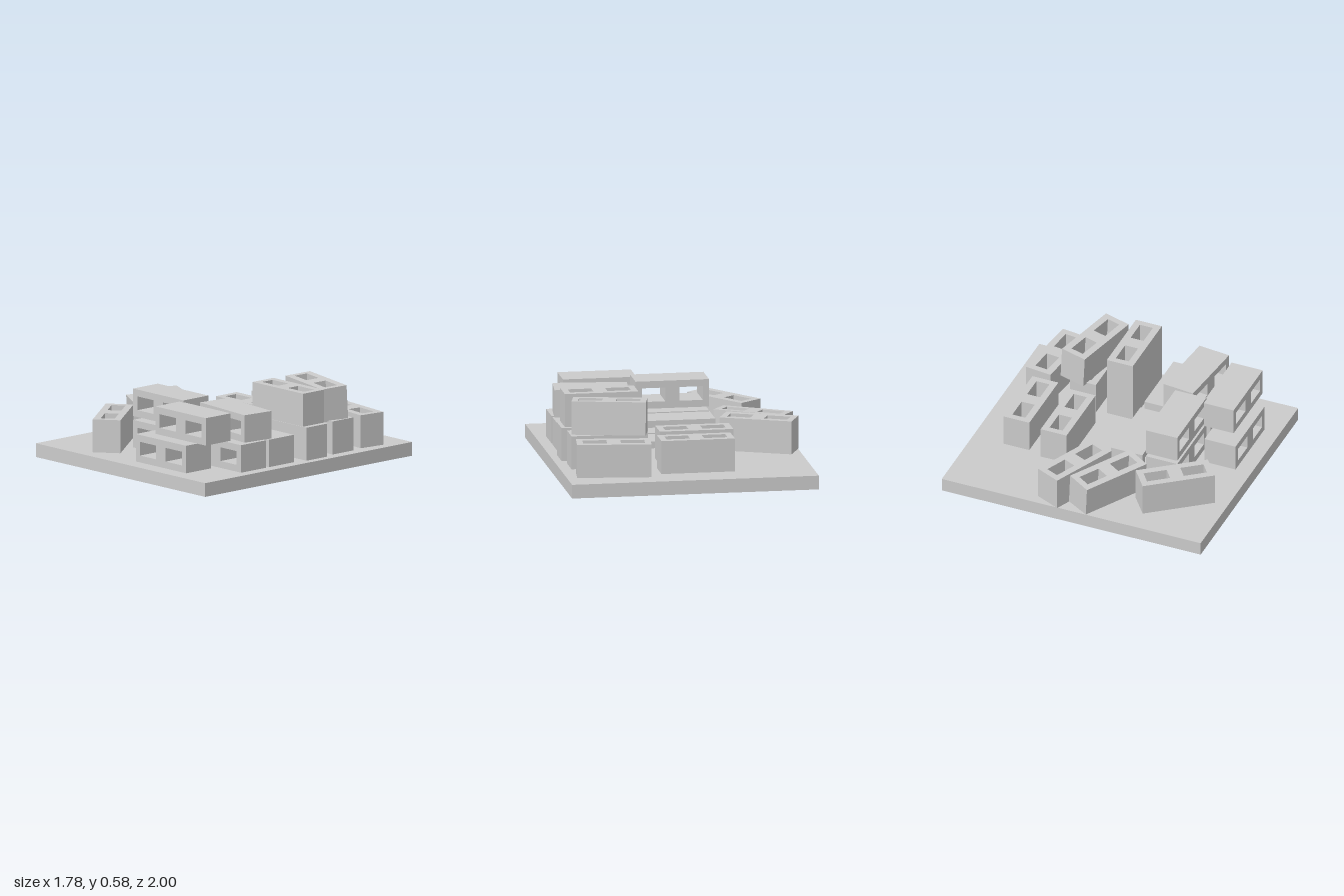
import * as THREE from 'three';

const LENGTH = 0.53, WIDTH = 0.2, DEPTH = 0.24, BASE = 0.1;

// One hollow block: a rectangle with two rectangular cores, extruded along z
function blockGeometry() {
  const rect = (P, cx, w, h) => {
    const p = new P();
    p.moveTo(cx - w / 2, -h / 2);
    p.lineTo(cx + w / 2, -h / 2);
    p.lineTo(cx + w / 2, h / 2);
    p.lineTo(cx - w / 2, h / 2);
    p.closePath();
    return p;
  };
  const shape = rect(THREE.Shape, 0, LENGTH, WIDTH);
  for (const s of [-1, 1]) shape.holes.push(rect(THREE.Path, s * 0.135, 0.17, 0.1));
  const geo = new THREE.ExtrudeGeometry(shape, { depth: DEPTH, bevelEnabled: false });
  return geo.translate(0, 0, -DEPTH / 2);
}

export function createModel() {
  const model = new THREE.Group();
  model.name = 'blockPile';
  const material = new THREE.MeshStandardMaterial({ color: 0xcccccc, flatShading: true });

  // Ground slab
  const slab = new THREE.Mesh(new THREE.BoxGeometry(1.78, BASE, 2), material);
  slab.name = 'groundSlab';
  slab.position.y = BASE / 2;
  model.add(slab);

  const lyingGeo = blockGeometry();
  const uprightGeo = blockGeometry().rotateX(-Math.PI / 2);

  const place = (name, geo, height, [x, z, bottom = BASE, turn = 0, tilt = 0]) => {
    const mesh = new THREE.Mesh(geo, material);
    mesh.name = name;
    mesh.position.set(x, bottom + height / 2, z);
    mesh.rotation.set(tilt, turn, 0, 'YXZ');
    model.add(mesh);
  };

  // Blocks on their sides, cores facing front: x, z, bottom, turn, tilt
  [
    [-0.06, 0.19],
    [-0.06, 0.46],
    [0.545, 0.19],
    [0.545, 0.46],
    [0.295, 0.76],
    [-0.06, 0.46, 0.328],
    [0.525, 0.367, 0.303, -0.105],
    [0.425, 0.69, 0.312],
  ].forEach((b, i) => place(`lyingBlock${i + 1}`, lyingGeo, WIDTH, b));

  // Blocks standing with cores upward
  [
    [-0.06, -0.663],
    [-0.1, -0.358],
    [0.543, -0.72, BASE, -0.118],
    [0.545, -0.405],
    [0.57, -0.13],
    [0.545, -0.12, 0.345],
    [0.522, -0.417, 0.337, -0.23, 0.055],
    [-0.612, -0.09, BASE, -0.42],
    [-0.612, 0.165, 0.088, -0.53, 0.06],
    [-0.48, 0.63, BASE, -0.92],
  ].forEach((b, i) => place(`uprightBlock${i + 1}`, uprightGeo, DEPTH, b));

  return model;
}
